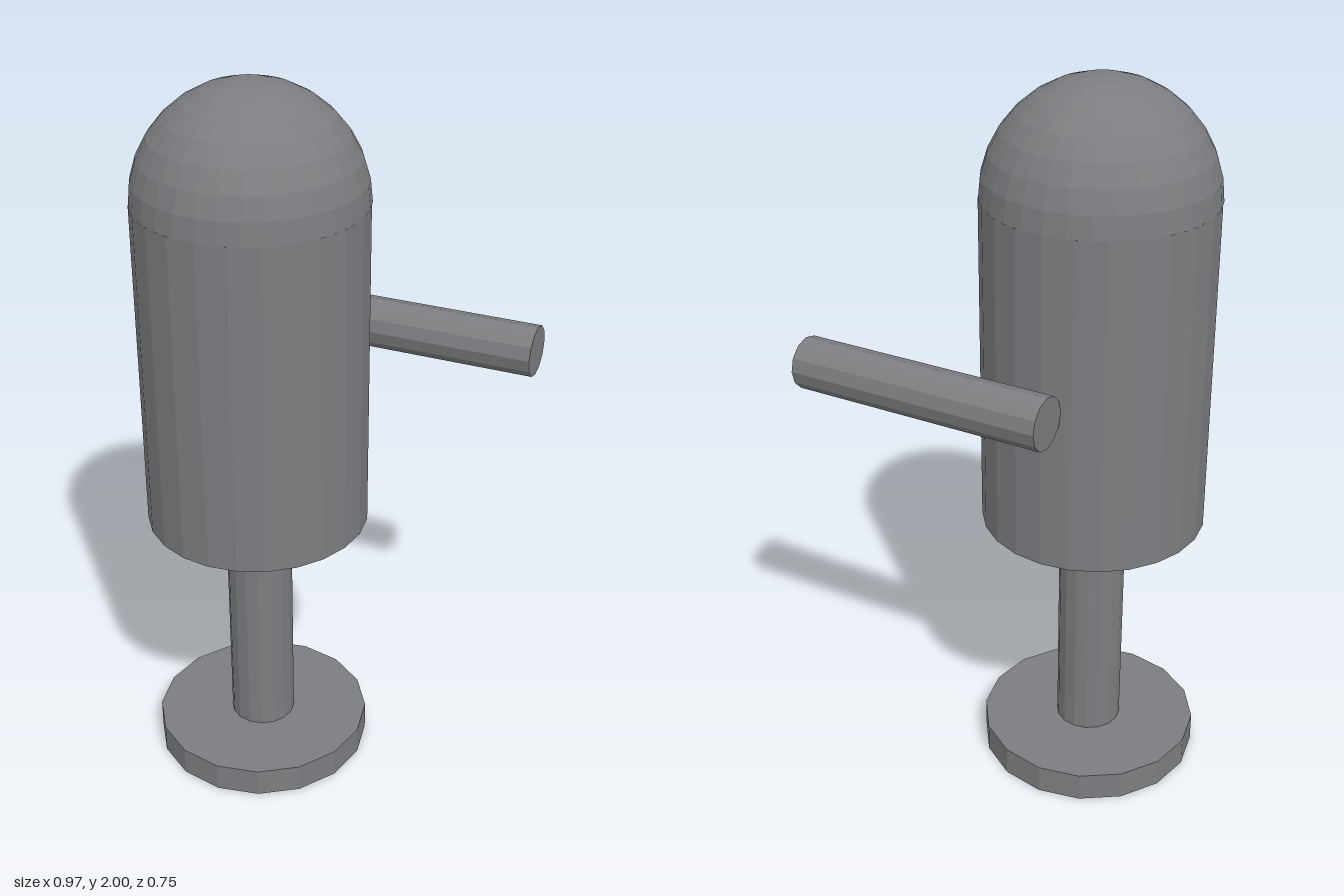
import * as THREE from 'three';

export function createModel() {
  const model = new THREE.Group();
  const material = new THREE.MeshStandardMaterial({ color: 0x7b7d80, flatShading: true });
  const radius = 0.307;

  const add = (name, geometry, x, y, z) => {
    const mesh = new THREE.Mesh(geometry, material);
    mesh.name = name;
    mesh.position.set(x, y, z);
    model.add(mesh);
    return mesh;
  };

  // Upright cylinder on the main axis, between two heights
  const column = (name, r, bottom, top, sides) =>
    add(name, new THREE.CylinderGeometry(r, r, top - bottom, sides), -0.18, (bottom + top) / 2, 0.067);

  column('base', radius, 0, 0.082, 16);
  column('post', 0.092, 0.082, 0.772, 16);
  column('body', radius, 0.772, 1.69, 24);

  // Rounded cap over the body
  add('dome', new THREE.SphereGeometry(radius, 32, 8, 0, Math.PI * 2, 0, Math.PI / 2), -0.18, 1.69, 0.067)
    .scale.y = 0.31 / radius;

  // Horizontal rod touching the back of the body, reaching to the left
  const rod = add('sideRod', new THREE.CylinderGeometry(0.071, 0.071, 0.717, 12), 0.127, 1.232, -0.303);
  rod.rotation.z = Math.PI / 2;

  return model;
}
